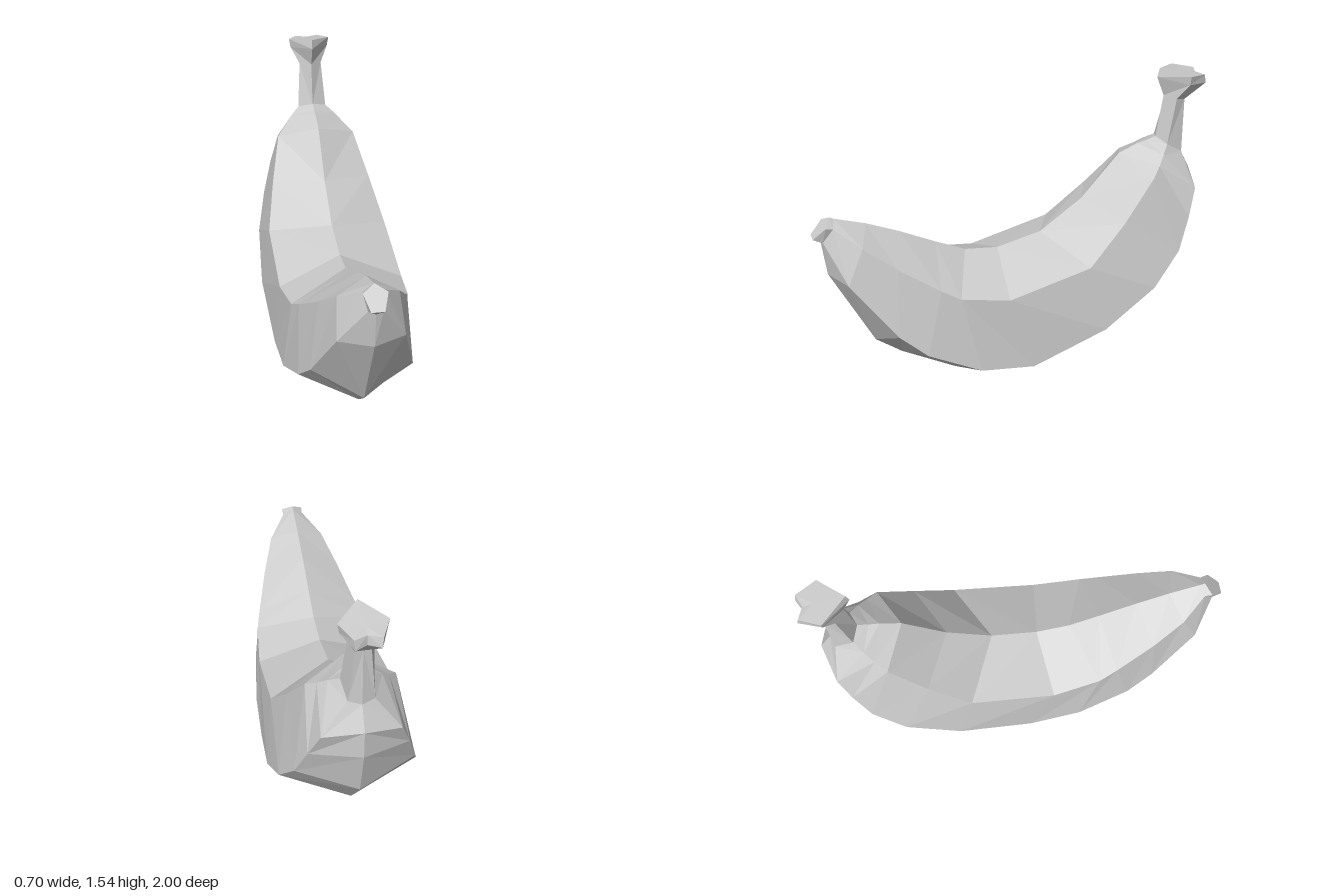
import * as THREE from 'three';

// Six-sided sections, tip to stem:
// [topY, topZ, upperX, upperY, upperZ, lowerX, lowerY, lowerZ, bottomY, bottomZ]
const TIP = [
  [1.01, 0.91, 0.055, 0.98, 0.94, 0.03, 0.92, 1.0, 0.92, 1.0],
  [1.0, 0.89, 0.05, 0.97, 0.905, 0.035, 0.9, 0.955, 0.885, 0.96],
];
const BODY = [
  TIP[1],
  [0.95, 0.74, 0.14, 0.89, 0.79, 0.155, 0.71, 0.87, 0.71, 0.94],
  [0.88, 0.58, 0.2, 0.78, 0.64, 0.24, 0.43, 0.66, 0.29, 0.73],
  [0.79, 0.4, 0.26, 0.66, 0.45, 0.28, 0.32, 0.53, 0.19, 0.6],
  [0.72, 0.25, 0.285, 0.61, 0.36, 0.32, 0.2, 0.27, 0.03, 0.32],
  [0.7, 0.08, 0.31, 0.57, 0.12, 0.33, 0.17, 0.0, 0.0, -0.05],
  [0.75, -0.15, 0.31, 0.67, -0.3, 0.35, 0.32, -0.38, 0.13, -0.4],
  [0.9, -0.37, 0.26, 0.86, -0.5, 0.33, 0.5, -0.65, 0.38, -0.73],
  [1.12, -0.57, 0.205, 1.05, -0.67, 0.28, 0.66, -0.8, 0.6, -0.91],
  [1.16, -0.67, 0.16, 1.09, -0.72, 0.23, 0.82, -0.87, 0.85, -0.97],
  [1.17, -0.72, 0.12, 1.13, -0.76, 0.18, 0.95, -0.92, 0.99, -0.97],
  [1.185, -0.77, 0.075, 1.165, -0.8, 0.06, 1.11, -0.89, 1.1, -0.91],
];
const STEM = [
  BODY[BODY.length - 1],
  [1.4, -0.8, 0.058, 1.395, -0.845, 0.035, 1.38, -0.9, 1.38, -0.9],
  [1.5, -0.758, 0.1, 1.475, -0.89, 0.055, 1.46, -1.0, 1.46, -0.97],
  [1.545, -0.77, 0.108, 1.52, -0.89, 0.06, 1.505, -0.99, 1.505, -0.965],
];

// Expand a half section into a mirrored ring of six corners
function ring([ty, tz, ux, uy, uz, lx, ly, lz, by, bz]) {
  return [[0, ty, tz], [ux, uy, uz], [lx, ly, lz], [0, by, bz], [-lx, ly, lz], [-ux, uy, uz]];
}

// Skin consecutive rings with flat facets, optionally closing either end
function loft(name, sections, material, capStart, capEnd) {
  const rings = sections.map(ring);
  const pos = [];
  const tri = (a, b, c) => pos.push(...a, ...b, ...c);
  for (let i = 0; i < rings.length - 1; i++) {
    for (let k = 0; k < 6; k++) {
      const n = (k + 1) % 6;
      const a = rings[i][k], b = rings[i][n], c = rings[i + 1][n], d = rings[i + 1][k];
      // mirrored diagonals keep both sides alike
      if (k < 3) { tri(a, b, c); tri(a, c, d); } else { tri(a, b, d); tri(b, c, d); }
    }
  }
  const cap = (r, flip) => {
    const centre = [0, 1, 2].map((j) => r.reduce((s, p) => s + p[j], 0) / 6);
    for (let k = 0; k < 6; k++) {
      const a = r[k], b = r[(k + 1) % 6];
      if (flip) tri(centre, b, a); else tri(centre, a, b);
    }
  };
  if (capStart) cap(rings[0], true);
  if (capEnd) cap(rings[rings.length - 1], false);
  const geometry = new THREE.BufferGeometry();
  geometry.setAttribute('position', new THREE.Float32BufferAttribute(pos, 3));
  geometry.computeVertexNormals();
  const mesh = new THREE.Mesh(geometry, material);
  mesh.name = name;
  return mesh;
}

export function createModel() {
  const group = new THREE.Group();
  group.name = 'banana';
  const material = new THREE.MeshStandardMaterial({ color: 0xcccccc, flatShading: true });
  group.add(
    loft('tip', TIP, material, true, false),
    loft('body', BODY, material, false, false),
    loft('stem', STEM, material, false, true),
  );
  return group;
}
